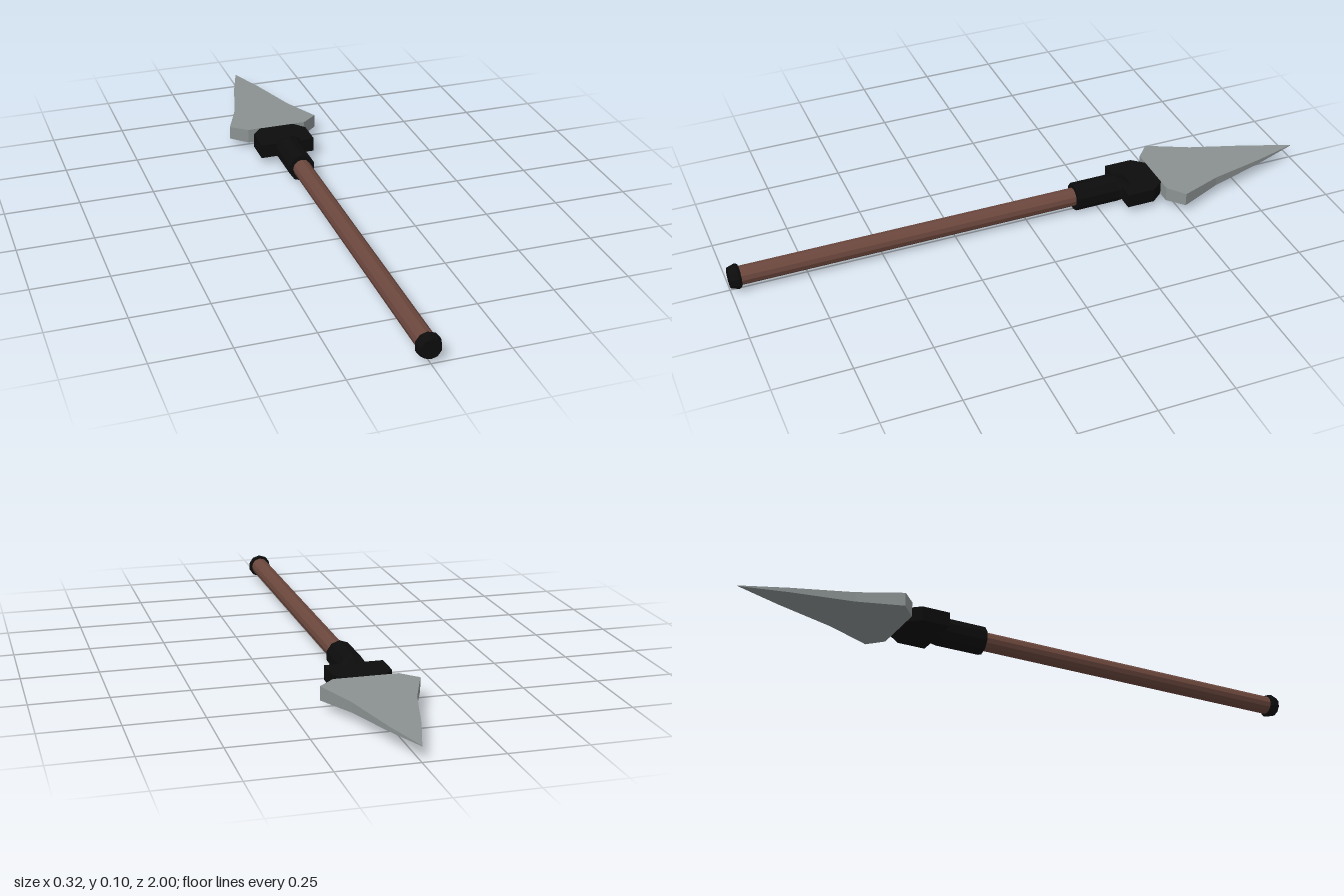
import * as THREE from 'three';

const AXIS_Y = 0.048;

function material(color) {
  return new THREE.MeshStandardMaterial({ color, flatShading: true });
}

function addPart(group, name, geometry, mat) {
  const flat = geometry.index ? geometry.toNonIndexed() : geometry;
  flat.computeVertexNormals();
  const mesh = new THREE.Mesh(flat, mat);
  mesh.name = name;
  mesh.position.y = AXIS_Y;
  group.add(mesh);
}

// Mirrored outline of [x, z] points, extruded through a height that may vary along z
function plate(half, halfHeight) {
  const mirrored = half.filter(([x]) => x > 0).reverse().map(([x, z]) => [-x, z]);
  const outline = [...half, ...mirrored].map(([x, z]) => new THREE.Vector2(x, -z));
  const geo = new THREE.ExtrudeGeometry(new THREE.Shape(outline), { depth: 2, bevelEnabled: false });
  geo.translate(0, 0, -1).rotateX(-Math.PI / 2);
  const p = geo.attributes.position;
  for (let i = 0; i < p.count; i++) p.setY(i, p.getY(i) * halfHeight(p.getZ(i)));
  return geo;
}

// Solid turned around the z axis from [radius, z] points, listed from back to front
function turned(points, sides) {
  const profile = points.map(([r, z]) => new THREE.Vector2(r, z));
  return new THREE.LatheGeometry(profile, sides).rotateX(Math.PI / 2);
}

// Round socket lofted into the flat crosspiece
function socketGeometry() {
  const sides = 10;
  const radius = 0.048;
  const rings = [[-0.17, false], [-0.32, false], [-0.365, true]];
  const pos = [];
  const index = [];
  for (const [z, flat] of rings) {
    for (let i = 0; i < sides; i++) {
      const a = Math.PI / 2 + (i / sides) * Math.PI * 2;
      let x = Math.cos(a) * radius * 0.95;
      let y = Math.sin(a) * radius;
      if (flat) {
        if (x > 0.001) x *= 1.45;
        y = THREE.MathUtils.clamp(y, -0.024, 0.024);
      }
      pos.push(x, y, z);
    }
  }
  for (let r = 0; r < rings.length - 1; r++) {
    for (let i = 0; i < sides; i++) {
      const a = r * sides + i;
      const b = r * sides + ((i + 1) % sides);
      index.push(a, b, a + sides, b, b + sides, a + sides);
    }
  }
  // End faces
  const last = (rings.length - 1) * sides;
  for (let i = 1; i < sides - 1; i++) {
    index.push(0, i, i + 1, last, last + i + 1, last + i);
  }
  // Put every triangle outward whichever way the rings run
  for (let t = 0; t < index.length; t += 3) {
    const [a, b, c] = [0, 1, 2].map((k) => new THREE.Vector3().fromArray(pos, index[t + k] * 3));
    const normal = b.clone().sub(a).cross(c.clone().sub(a));
    const outward = a.add(b).add(c).divideScalar(3).sub(new THREE.Vector3(0, 0, -0.27));
    if (normal.dot(outward) < 0) [index[t + 1], index[t + 2]] = [index[t + 2], index[t + 1]];
  }
  const geo = new THREE.BufferGeometry();
  geo.setAttribute('position', new THREE.Float32BufferAttribute(pos, 3));
  geo.setIndex(index);
  return geo;
}

export function createModel() {
  const group = new THREE.Group();
  group.name = 'spear';
  const wood = material(0x6b473d);
  const black = material(0x0c0c0c);
  const steel = material(0x8b9191);

  // Wooden shaft
  const shaft = new THREE.CylinderGeometry(0.031, 0.031, 1.16, 12).rotateX(Math.PI / 2);
  addPart(group, 'shaft', shaft.translate(0, 0, 0.4), wood);

  // Butt cap with chamfered rims
  const cap = turned([[0, 0.965], [0.037, 0.965], [0.041, 0.974], [0.033, 1], [0, 1]], 10);
  addPart(group, 'buttCap', cap, black);

  // Socket and crosspiece holding the blade
  addPart(group, 'socket', socketGeometry(), black);
  const cross = plate([[0.095, -0.33], [0.095, -0.425], [0.06, -0.466]], () => 0.024);
  addPart(group, 'crosspiece', cross, black);

  // Blade, thinning evenly to the tip
  const blade = plate(
    [[0.104, -0.465], [0.158, -0.512], [0.1, -0.655], [0.048, -0.85], [0, -1]],
    (z) => 0.001 + 0.0235 * ((1 + z) / 0.535)
  );
  addPart(group, 'blade', blade, steel);

  return group;
}
